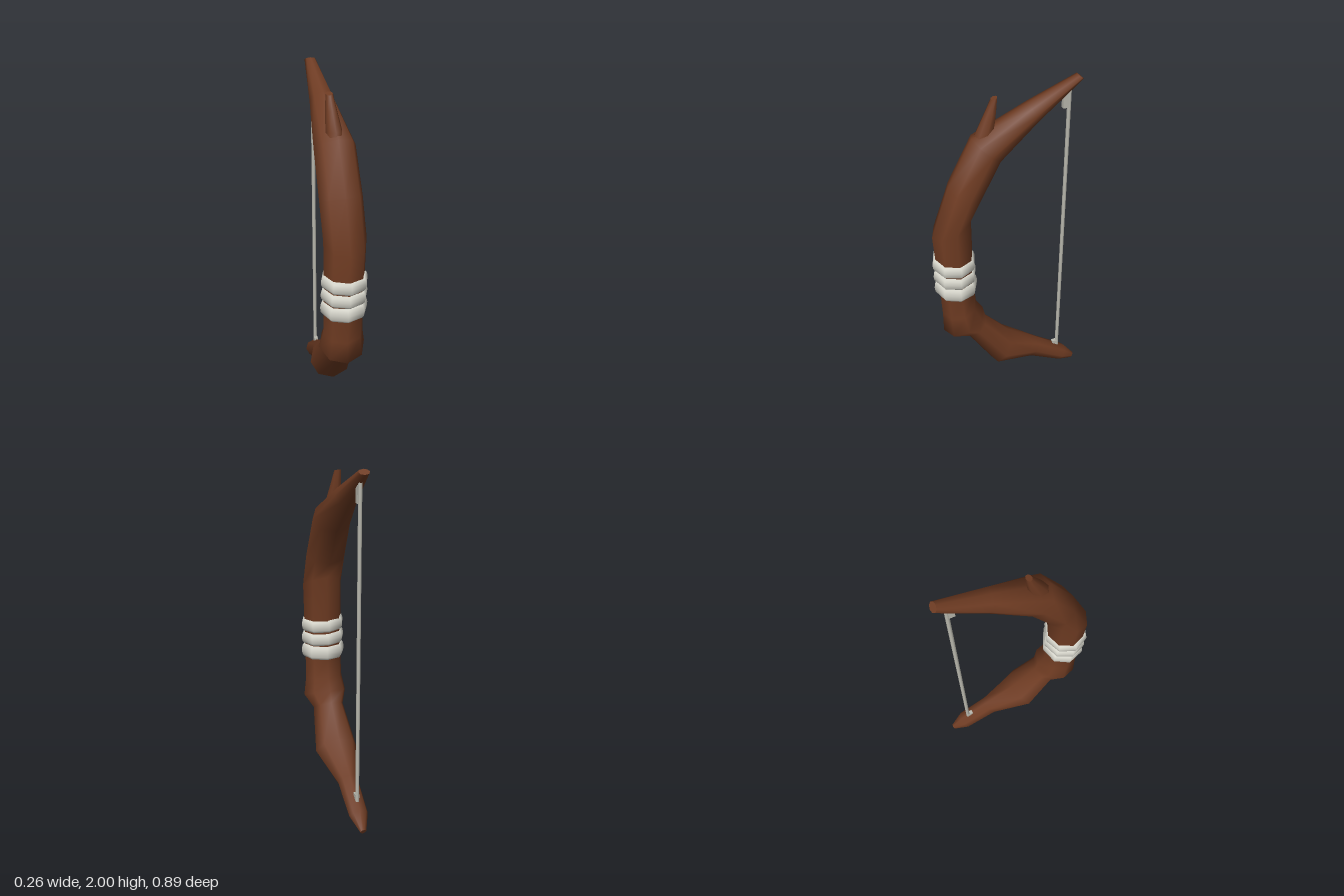
import * as THREE from 'three';

const wood = new THREE.MeshStandardMaterial({ color: 0x6e3b22 });
wood.name = 'brown wood';
const wrap = new THREE.MeshStandardMaterial({ color: 0xd6d5cb });
wrap.name = 'pale wrapping';
const cord = new THREE.MeshStandardMaterial({ color: 0xb9b8ae });
cord.name = 'grey cord';

// Skin over eight-sided sections: [outer z, outer y, inner z, inner y, half width, centre x]
function loft(sections, sides = 8) {
  const pos = [], index = [];
  const ring = ([oz, oy, iz, iy, w, cx = 0]) => {
    for (let j = 0; j < sides; j++) {
      const a = (j / sides) * Math.PI * 2, c = Math.cos(a) / 2;
      pos.push(cx + Math.sin(a) * w, (oy + iy) / 2 + c * (oy - iy), (oz + iz) / 2 + c * (oz - iz));
    }
  };
  sections.forEach(ring);
  for (let i = 0; i < sections.length - 1; i++) {
    for (let j = 0; j < sides; j++) {
      const a = i * sides + j, b = i * sides + (j + 1) % sides;
      index.push(a, b, b + sides, a, b + sides, a + sides);
    }
  }
  // end caps with their own corners so the rims stay crisp
  const bottom = pos.length / 3;
  ring(sections[0]);
  const top = pos.length / 3;
  ring(sections[sections.length - 1]);
  for (let j = 1; j < sides - 1; j++) {
    index.push(bottom, bottom + j + 1, bottom + j, top, top + j, top + j + 1);
  }
  const g = new THREE.BufferGeometry();
  g.setAttribute('position', new THREE.Float32BufferAttribute(pos, 3));
  g.setIndex(index);
  g.computeVertexNormals();
  return g;
}

export function createModel() {
  const model = new THREE.Group();
  model.name = 'bow';
  const add = (name, geometry, material, x = 0, y = 0, z = 0) => {
    const m = new THREE.Mesh(geometry, material);
    m.name = name;
    m.position.set(x, y, z);
    model.add(m);
    return m;
  };

  // crooked branch, from the lower tip to the upper tip
  add('branch', loft([
    [-0.42, 0.005, -0.44, 0.04, 0.018],
    [-0.32, 0.04, -0.375, 0.125, 0.055],
    [-0.12, 0.14, -0.20, 0.25, 0.06],
    [0.12, 0.20, 0.0, 0.385, 0.125],
    [0.28, 0.465, 0.15, 0.55, 0.092],
    [0.405, 0.515, 0.165, 0.62, 0.13],
    [0.405, 0.65, 0.205, 0.685, 0.112],
    [0.412, 0.80, 0.215, 0.81, 0.11],
    [0.435, 1.19, 0.217, 1.31, 0.115],
    [0.335, 1.48, 0.16, 1.405, 0.115],
    [0.20, 1.74, 0.05, 1.61, 0.11],
    [-0.10, 1.89, -0.15, 1.785, 0.066],
    [-0.36, 2.0, -0.39, 1.975, 0.03],
  ]), wood);

  // short broken twig
  add('twig', loft([
    [0.21, 1.68, 0.10, 1.66, 0.052, -0.004],
    [0.175, 1.765, 0.078, 1.76, 0.043, -0.006],
    [0.125, 1.86, 0.064, 1.86, 0.03, -0.012],
    [0.09, 1.93, 0.056, 1.94, 0.019, -0.015],
  ]), wood);

  // three bulging bands around the grip, each a little askew
  const bandProfile = [[0.094, -0.036], [0.117, -0.036], [0.127, -0.022], [0.13, 0.004],
    [0.125, 0.026], [0.115, 0.036], [0.094, 0.036]].map(p => new THREE.Vector2(...p));
  [[0.843, 0.318, 1.12, 0.02], [0.928, 0.321, 0.98, -0.03], [1.01, 0.324, 1.0, -0.05]]
    .forEach(([y, z, height, tilt], i) => {
      const band = add('gripBand' + (i + 1), new THREE.LatheGeometry(bandProfile, 8), wrap, 0, y, z);
      band.scale.set(1, height, 0.94);
      band.rotation.set(0.03, 0.06 * (i - 1), tilt);
    });

  // string with a knot block at each end
  add('bowString', new THREE.CylinderGeometry(0.011, 0.011, 1.8, 8), cord, 0, 1.04, -0.322);
  add('upperKnot', new THREE.BoxGeometry(0.022, 0.09, 0.032), cord, 0, 1.872, -0.302);
  add('lowerKnot', new THREE.BoxGeometry(0.022, 0.075, 0.036), cord, 0, 0.158, -0.308);
  return model;
}
